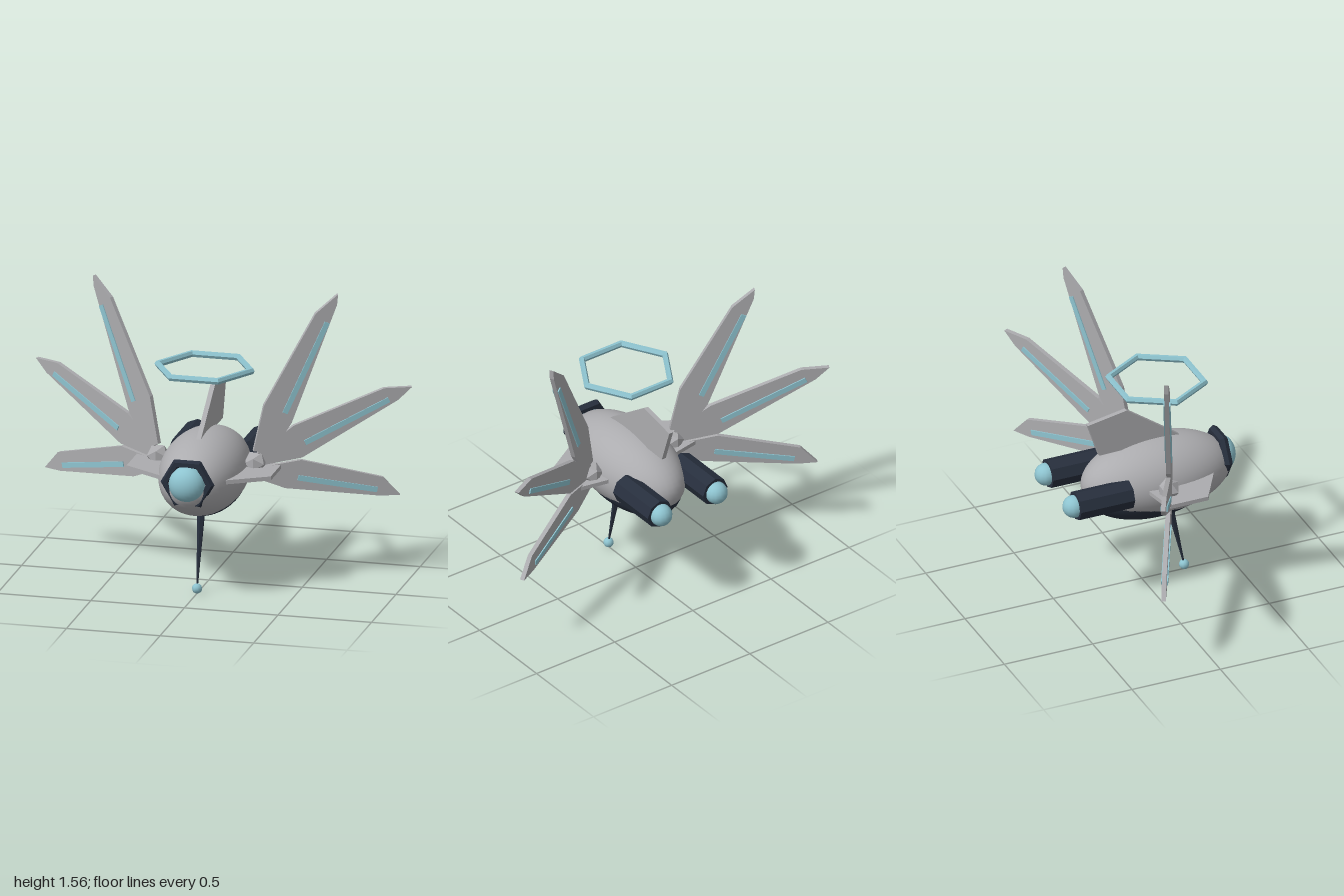
import * as THREE from 'three';

const paint = (name, color, flatShading = false) => {
  const m = new THREE.MeshStandardMaterial({ color });
  m.name = name;
  m.flatShading = flatShading;
  return m;
};

export function createModel() {
  const model = new THREE.Group();
  model.name = 'wingedDrone';
  const grey = paint('hullGrey', 0xacacaf);
  const dark = paint('darkNavy', 0x272f3d);
  const teal = paint('glowTeal', 0x8ec4d0);

  const add = (name, geometry, material, x = 0, y = 0, z = 0, parent = model) => {
    const mesh = new THREE.Mesh(geometry, material);
    mesh.name = name;
    mesh.position.set(x, y, z);
    parent.add(mesh);
    return mesh;
  };
  const ellipsoid = (rx, ry, rz, w = 40, h = 28) => new THREE.SphereGeometry(1, w, h).scale(rx, ry, rz);
  // faceted copy of a geometry
  const faceted = (g) => {
    const f = g.index ? g.toNonIndexed() : g;
    f.computeVertexNormals();
    return f;
  };
  // plate cut from an outline, centred on its thickness
  const plate = (points, depth) => {
    const shape = new THREE.Shape(points.map(([x, y]) => new THREE.Vector2(x, y)));
    return new THREE.ExtrudeGeometry(shape, { depth, bevelEnabled: false }).translate(0, 0, -depth / 2);
  };

  // Hull and belly
  add('hull', ellipsoid(0.225, 0.215, 0.415), grey, 0, 0.62, 0.08);
  add('belly', ellipsoid(0.2, 0.18, 0.36), dark, 0, 0.57, 0.045);

  // Nose lens in a hexagonal collar
  add('noseCollar', faceted(new THREE.TorusGeometry(0.118, 0.026, 6, 6)), dark, 0, 0.655, 0.435);
  add('noseLens', ellipsoid(0.097, 0.097, 0.08, 24, 16), teal, 0, 0.652, 0.442);

  // Hexagonal halo
  add('halo', faceted(new THREE.TorusGeometry(0.25, 0.018, 6, 6).rotateX(Math.PI / 2)), teal, 0, 1.177, 0.085);

  // Dorsal fin, outlined as (-z, y)
  const dorsal = plate([[-0.22, 0.815], [0.09, 1.04], [0.31, 1.0], [0.245, 0.805]], 0.025);
  add('dorsalFin', dorsal.rotateY(Math.PI / 2), grey);

  // Antenna with a bulb
  const top = new THREE.Vector3(0, 0.46, 0.145);
  const tip = new THREE.Vector3(0, 0.03, 0.24);
  const dir = tip.clone().sub(top);
  const antenna = add('antenna', faceted(new THREE.CylinderGeometry(0.004, 0.023, dir.length(), 6)), dark);
  antenna.position.copy(top).add(tip).multiplyScalar(0.5);
  antenna.quaternion.setFromUnitVectors(new THREE.Vector3(0, 1, 0), dir.clone().normalize());
  add('antennaBulb', new THREE.SphereGeometry(0.027, 10, 8), teal, 0, 0.027, 0.24);

  // Wing blades: outline and stripe ends as (x, y) seen from the front
  const blades = [
    {
      name: 'upperBlade',
      outline: [[0.25, 0.735], [0.335, 0.72], [0.43, 0.875], [0.645, 1.5], [0.65, 1.556], [0.545, 1.46], [0.3, 0.98]],
      stripe: [[0.398, 0.932], [0.598, 1.408]],
    },
    {
      name: 'middleBlade',
      outline: [[0.28, 0.655], [0.48, 0.685], [0.935, 0.965], [1.0, 1.03], [0.868, 1.032], [0.44, 0.86], [0.27, 0.725]],
      stripe: [[0.493, 0.765], [0.89, 0.97]],
    },
    {
      name: 'lowerBlade',
      outline: [[0.25, 0.595], [0.4, 0.525], [0.85, 0.452], [0.945, 0.45], [0.865, 0.55], [0.475, 0.672], [0.3, 0.648]],
      stripe: [[0.46, 0.578], [0.835, 0.487]],
    },
  ];
  const sweep = 0.463;
  const rootX = 0.26;

  for (const side of [1, -1]) {
    const label = side > 0 ? 'left' : 'right';

    // Swept-back fan of blades
    const wing = new THREE.Group();
    wing.name = label + 'Wing';
    wing.position.set(side * rootX, 0, 0.045);
    wing.rotation.y = side * sweep;
    model.add(wing);
    const toPlane = ([x, y]) => [side * (x - rootX) / Math.cos(sweep), y];
    for (const { name, outline, stripe } of blades) {
      add(name, plate(outline.map(toPlane), 0.024), grey, 0, 0, 0, wing);
      const [[ax, ay], [bx, by]] = stripe.map(toPlane);
      const length = Math.hypot(bx - ax, by - ay);
      const strip = add(name + 'Stripe', new THREE.BoxGeometry(length, 0.028, 0.036), teal,
        (ax + bx) / 2, (ay + by) / 2, 0, wing);
      strip.rotation.z = Math.atan2(by - ay, bx - ax);
    }
    add(label + 'WingJoint', new THREE.IcosahedronGeometry(0.062, 0), grey, side * rootX, 0.67, 0.038);

    // Flat side fin, outlined as (x, z)
    const fin = plate([[0.16, 0.34], [0.385, 0.205], [0.385, -0.018], [0.16, -0.06]].map(([x, z]) => [side * x, z]), 0.022);
    add(label + 'SideFin', fin.rotateX(Math.PI / 2), grey, 0, 0.642, 0);

    // Engine pod and exhaust glow
    const pod = new THREE.CylinderGeometry(0.078, 0.078, 0.305, 8).rotateX(Math.PI / 2);
    add(label + 'Engine', faceted(pod), dark, side * 0.177, 0.644, -0.302);
    add(label + 'EngineGlow', new THREE.SphereGeometry(0.06, 14, 10), teal, side * 0.177, 0.644, -0.463);
  }
  return model;
}
